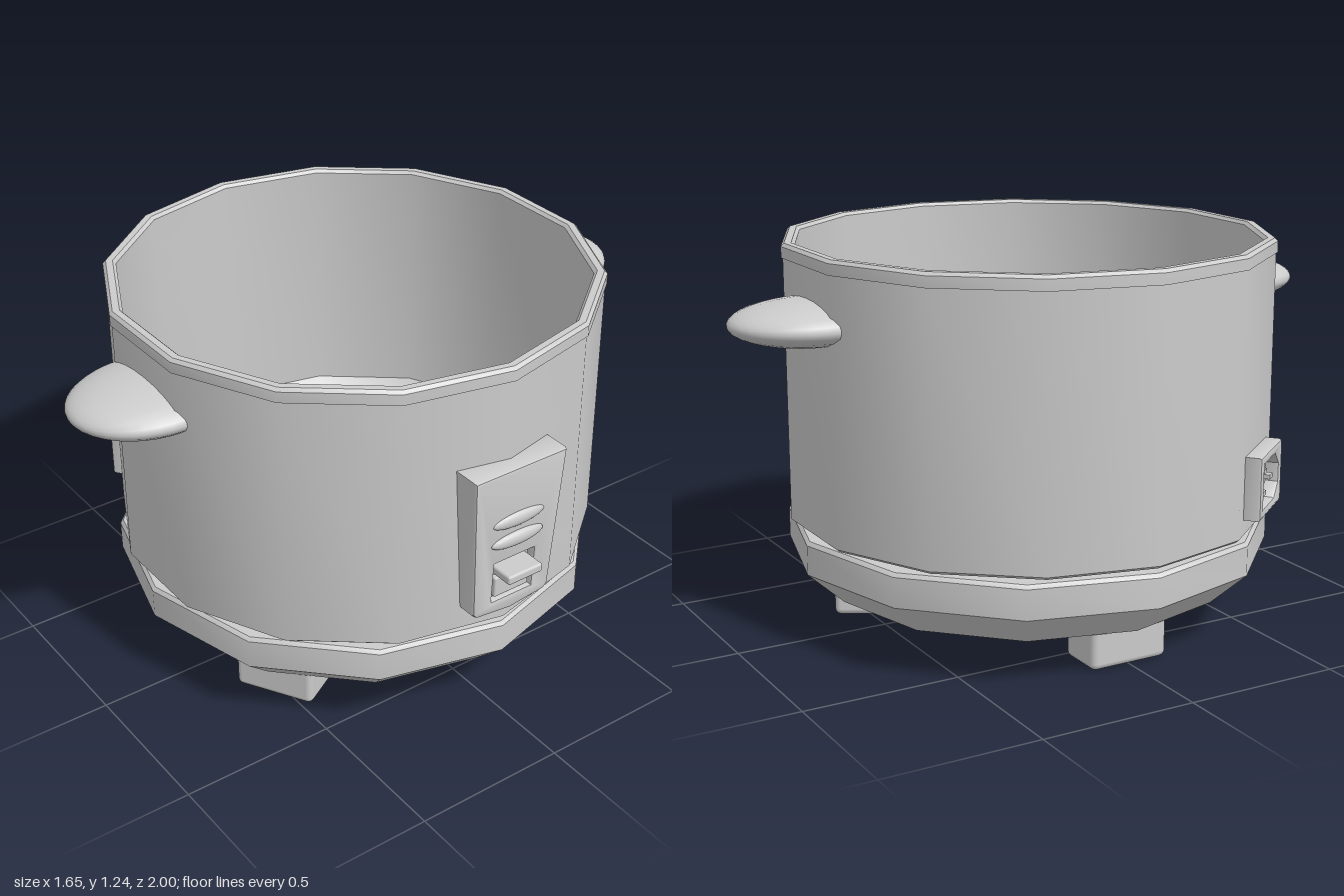
import * as THREE from 'three';
import { toCreasedNormals } from 'three/addons/utils/BufferGeometryUtils.js';
import { RoundedBoxGeometry } from 'three/addons/geometries/RoundedBoxGeometry.js';

const grey = new THREE.MeshStandardMaterial({ color: 0xcccccc });
const AXIS_X = -0.045; // the vessel axis sits a little off centre

function add(parent, name, geometry, x = 0, y = 0, z = 0) {
  const mesh = new THREE.Mesh(geometry, grey);
  mesh.name = name;
  mesh.position.set(x, y, z);
  parent.add(mesh);
  return mesh;
}

// Faceted body of revolution with a corner on the x axis
function turned(profile, sides) {
  const points = profile.map(([r, y]) => new THREE.Vector2(r, y));
  return toCreasedNormals(new THREE.LatheGeometry(points, sides, Math.PI / 2), 0.6);
}

function outline(points, Type = THREE.Shape) {
  return new Type(points.map(([x, y]) => new THREE.Vector2(x, y)));
}

// Bevelled plate with a window, its front face at z = depth
function plate(points, window, depth, bevel) {
  const shape = outline(points);
  shape.holes.push(outline(window, THREE.Path));
  const geometry = new THREE.ExtrudeGeometry(shape, {
    depth: depth - bevel, bevelThickness: bevel, bevelSize: bevel, bevelOffset: -bevel, bevelSegments: 2,
  });
  return toCreasedNormals(geometry, 0.6);
}

export function createModel() {
  const model = new THREE.Group();
  model.name = 'slowCooker';
  const body = new THREE.Group();
  body.name = 'body';
  body.position.x = AXIS_X;
  model.add(body);

  // Open pot with a raised rim
  add(body, 'pot', turned([
    [0, 0.35], [0.765, 0.35], [0.777, 0.36], [0.777, 1.19],
    [0.782, 1.19], [0.782, 1.225], [0.772, 1.235], [0.75, 1.235],
    [0.74, 1.225], [0.74, 0.42], [0.7, 0.375], [0, 0.375],
  ], 14));

  // Heater base, tapering towards the feet
  add(body, 'base', turned([
    [0, 0.12], [0.66, 0.12], [0.78, 0.23], [0.78, 0.325], [0.77, 0.337], [0, 0.337],
  ], 12));

  // Three feet, evenly spaced
  for (let i = 0; i < 3; i++) {
    const a = Math.PI + i * Math.PI * 2 / 3;
    const foot = add(body, 'foot', new RoundedBoxGeometry(0.16, 0.15, 0.265, 2, 0.02),
      Math.cos(a) * 0.545, 0.075, Math.sin(a) * 0.545);
    foot.rotation.y = -a;
  }

  // Flattened half-round handles at the front and back
  for (const side of [1, -1]) {
    const geometry = new THREE.SphereGeometry(1, 24, 10, 0, Math.PI * 2, 0, Math.PI / 2);
    geometry.rotateX(side * Math.PI / 2);
    geometry.scale(0.213, 0.07, 0.26);
    add(body, side > 0 ? 'frontHandle' : 'backHandle', geometry, 0, 1.025, side * 0.74);
  }

  // Control panel: faces +z while built, then turned to face +x and leaned
  const panel = new THREE.Group();
  panel.name = 'controlPanel';
  panel.position.set(0.69, 0, 0);
  panel.rotation.y = Math.PI / 2;
  model.add(panel);
  const lean = (geometry) => {
    const p = geometry.attributes.position;
    for (let i = 0; i < p.count; i++) {
      if (p.getZ(i) > 0.03) p.setZ(i, p.getZ(i) - (0.93 - p.getY(i)) * 0.045);
    }
    return geometry;
  };
  add(panel, 'panelPlate', lean(plate(
    [[-0.17, 0.93], [-0.145, 0.44], [-0.13, 0.425], [0, 0.41], [0.13, 0.425], [0.145, 0.44], [0.17, 0.93]],
    [[-0.075, 0.465], [0.075, 0.465], [0.075, 0.605], [-0.075, 0.605]], 0.097, 0.012)));
  add(panel, 'switchRecess', new THREE.BoxGeometry(0.2, 0.17, 0.05), 0, 0.535, 0.027);
  add(panel, 'switchBlock', new RoundedBoxGeometry(0.13, 0.07, 0.03, 2, 0.006), 0, 0.51, 0.057);
  add(panel, 'switchLever', new RoundedBoxGeometry(0.13, 0.03, 0.09, 2, 0.008), 0, 0.57, 0.09);
  for (const y of [0.75, 0.68]) {
    const button = new THREE.SphereGeometry(1, 24, 12);
    button.scale(0.098, 0.025, 0.018);
    add(panel, 'button', button, 0, y, 0.086);
  }

  // Power inlet on one facet of the pot
  const inlet = new THREE.Group();
  inlet.name = 'powerInlet';
  const turn = Math.PI * 1.5 / 7; // middle of the facet, measured from -x
  inlet.position.set(-Math.cos(turn) * 0.745, 0.51, Math.sin(turn) * 0.745);
  inlet.rotation.y = turn - Math.PI / 2;
  body.add(inlet);
  add(inlet, 'inletFrame', plate(
    [[-0.125, -0.1], [0.125, -0.1], [0.125, 0.1], [-0.125, 0.1]],
    [[-0.09, -0.07], [0.045, -0.07], [0.09, -0.03], [0.09, 0.03], [0.045, 0.07], [-0.09, 0.07]], 0.066, 0.01));
  add(inlet, 'inletRecess', new THREE.BoxGeometry(0.21, 0.17, 0.02), 0, 0, 0.013);
  for (const [x, y] of [[-0.035, 0.035], [-0.035, -0.035], [0.04, 0]]) {
    add(inlet, 'pin', new THREE.BoxGeometry(0.03, 0.014, 0.035), x, y, 0.037);
  }

  return model;
}
